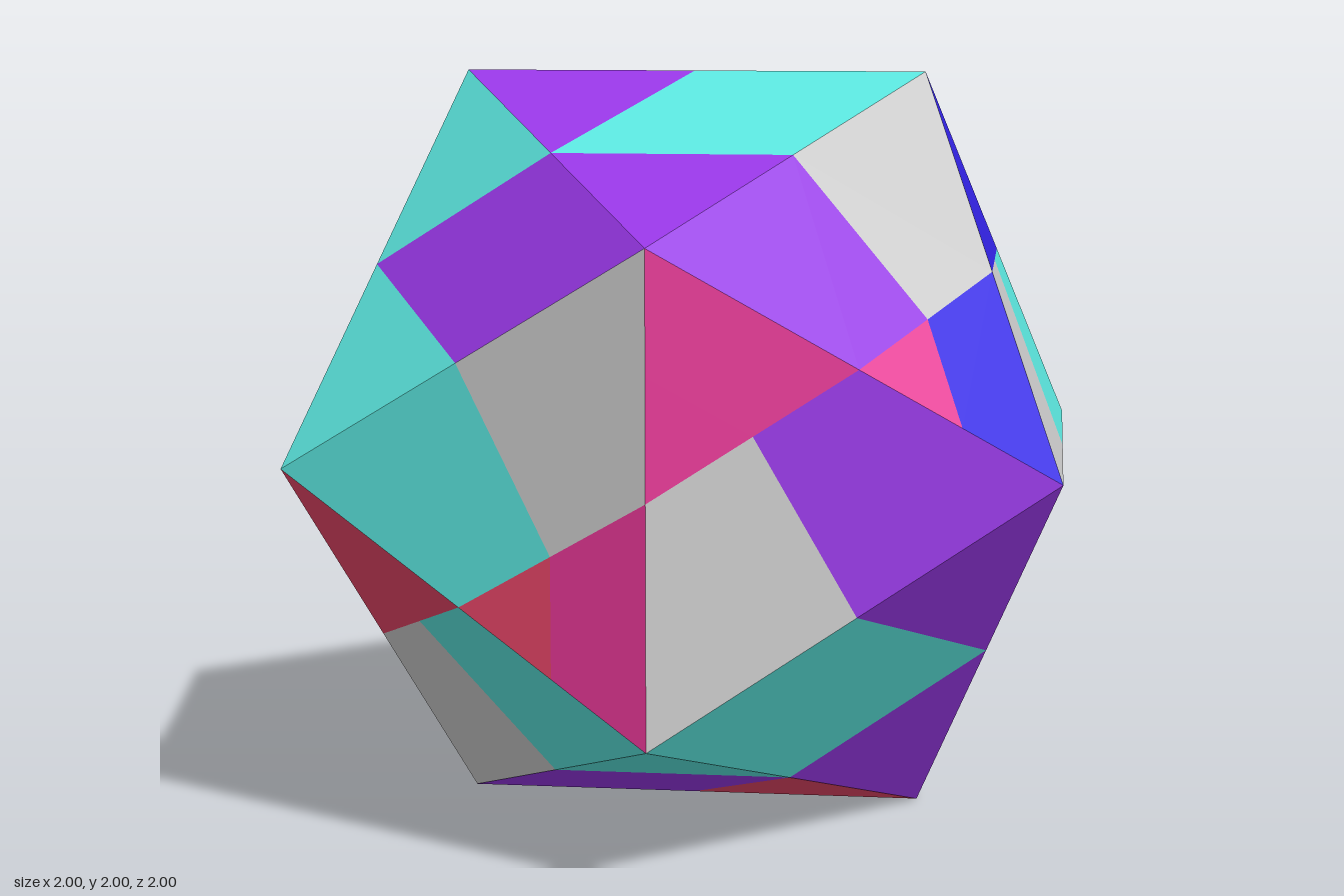
import * as THREE from 'three';

const P = (Math.sqrt(5) - 1) / 2;

// Twelve corners of the icosahedron, standing on y = 0
const corners = {};
for (const s of [1, -1]) {
  for (const t of [1, -1]) {
    const k = (t > 0 ? '+' : '-');
    corners[(s > 0 ? 'T' : 'B') + k] = new THREE.Vector3(t * P, 1 + s, 0); // top / bottom ridge
    corners[(s > 0 ? 'R' : 'L') + k] = new THREE.Vector3(s, 1, t * P); // +x / -x sides
    corners[(s > 0 ? 'U' : 'D') + k] = new THREE.Vector3(0, 1 + s * P, t); // upper / lower, front / back
  }
}

const palette = {
  purple: 0x9837e6, turquoise: 0x5be6de, red: 0xe64567,
  pink: 0xe63696, blue: 0x3222e4, grey: 0xcccccc,
};

// Faces whose centre is halved between corners B and C.
// [corners A B C, colours of A B C, optional colour of the chip on edge AB]
const halved = [
  ['U+ D+ R+', 'pink grey purple'],
  ['D+ L+ U+', 'pink turquoise grey', 'red'],
  ['R+ U+ T+', 'blue purple grey', 'pink'],
  ['T+ R+ R-', 'blue grey turquoise'],
  ['R- T+ U-', 'pink turquoise grey', 'blue'],
  ['U- R- D-', 'pink grey red'],
  ['D- U- L-', 'blue purple grey', 'pink'],
  ['L- D- B-', 'blue grey purple'],
  ['L+ D+ B-', 'red turquoise grey'],
  ['B- L- L+', 'red red grey', 'blue'],
];

// Faces whose whole centre belongs to corner B
const joined = [
  ['U+ T+ T-', 'purple turquoise purple'],
  ['L+ U+ T-', 'turquoise purple turquoise'],
  ['T+ U- T-', 'turquoise purple red'],
  ['U- L- T-', 'purple red turquoise'],
  ['T- L+ L-', 'purple turquoise red'],
  ['B+ R+ R-', 'turquoise purple turquoise'],
  ['D- R- B+', 'red turquoise purple'],
  ['B+ D- B-', 'turquoise red purple'],
  ['R+ D+ B+', 'purple turquoise purple'],
  ['D+ B- B+', 'turquoise purple red'],
];

const mid = (a, b) => a.clone().add(b).multiplyScalar(0.5);
const centre = new THREE.Vector3(0, 1, 0);

export function createModel() {
  const model = new THREE.Group();
  const panels = {};
  for (const c in palette) panels[c] = [];

  // Fan a convex panel into triangles that face outward
  function addPanel(color, ...pts) {
    const n = pts[1].clone().sub(pts[0]).cross(pts[2].clone().sub(pts[0]));
    if (n.dot(pts[0].clone().sub(centre)) < 0) pts.reverse();
    for (let i = 1; i < pts.length - 1; i++) {
      for (const p of [pts[0], pts[i], pts[i + 1]]) panels[color].push(p.x, p.y, p.z);
    }
  }

  function addFace([names, colors, chip], split) {
    const [A, B, C] = names.split(' ').map((n) => corners[n]);
    const [a, b, c] = colors.split(' ');
    const AB = mid(A, B), BC = mid(B, C), AC = mid(A, C);
    const q = mid(AB, AC), h = mid(A, AB);
    addPanel(chip || a, AB, q, h);
    addPanel(a, A, h, q, AC);
    addPanel(b, B, BC, q, AB);
    addPanel(c, C, AC, BC);
    addPanel(split ? c : b, BC, AC, q);
  }

  halved.forEach((f) => addFace(f, true));
  joined.forEach((f) => addFace(f, false));

  // One mesh per colour
  for (const c in palette) {
    const geo = new THREE.BufferGeometry();
    geo.setAttribute('position', new THREE.Float32BufferAttribute(panels[c], 3));
    geo.computeVertexNormals();
    const mesh = new THREE.Mesh(geo, new THREE.MeshStandardMaterial({ color: palette[c], flatShading: true }));
    mesh.name = c + 'Panels';
    model.add(mesh);
  }
  model.name = 'panelledIcosahedron';
  return model;
}
